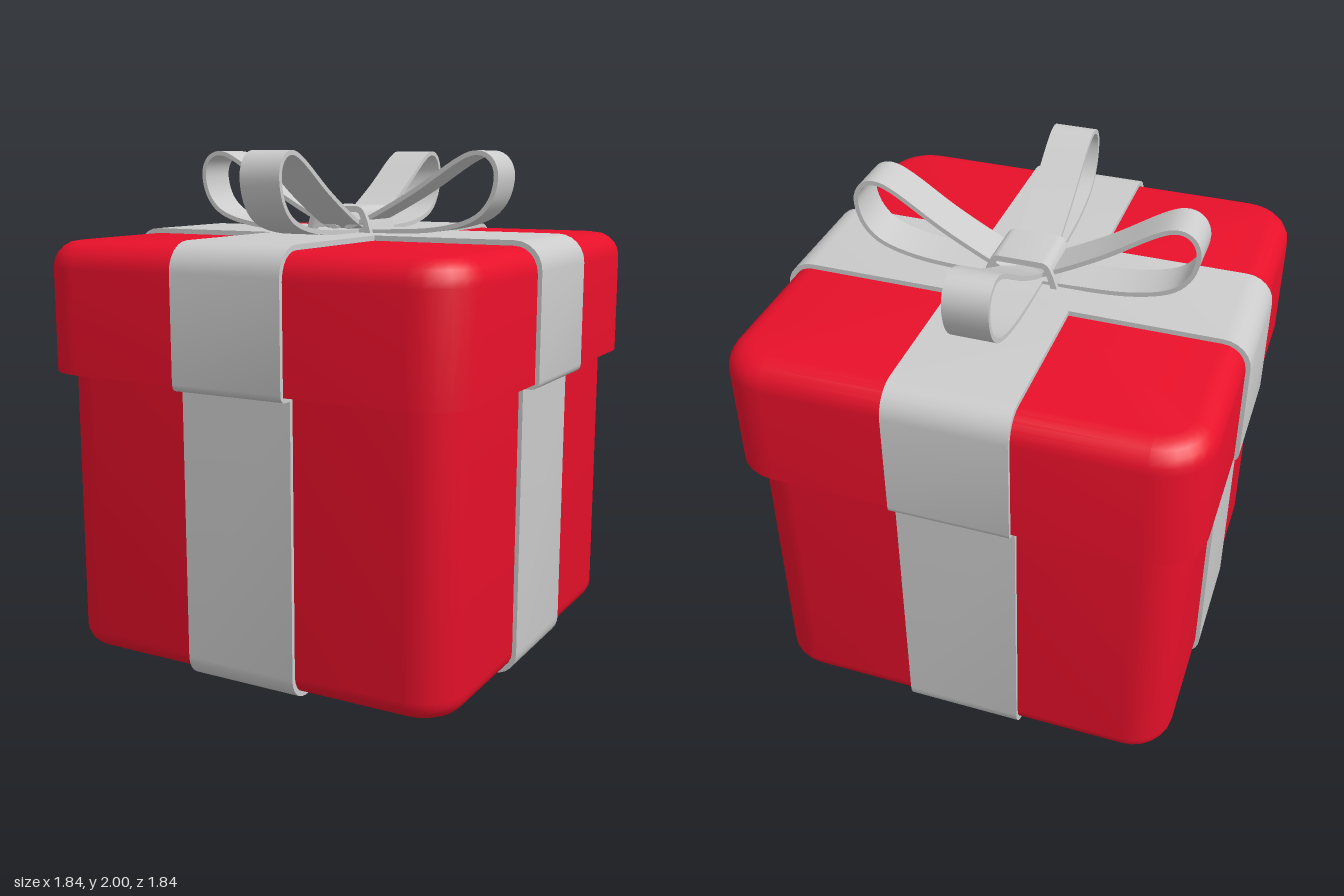
import * as THREE from 'three';
import { toCreasedNormals } from 'three/addons/utils/BufferGeometryUtils.js';

const RED = 0xe8102a;
const GREY = 0xcccccc;
const V = (x, y) => new THREE.Vector2(x, y);

function addMesh(parent, name, geometry, color) {
  const mesh = new THREE.Mesh(
    toCreasedNormals(geometry, 0.7),
    new THREE.MeshStandardMaterial({ color })
  );
  mesh.name = name;
  parent.add(mesh);
  return mesh;
}

// Square block with rounded upright corners; levels are [height, inset] from the bottom up
function roundedBlock(half, radius, levels, steps = 6) {
  const pos = [], index = [], n = 4 * (steps + 1);
  for (const [y, inset] of levels) {
    for (let k = 0; k < 4; k++) {
      const cx = (k === 0 || k === 3 ? 1 : -1) * (half - radius);
      const cz = (k < 2 ? 1 : -1) * (half - radius);
      for (let j = 0; j <= steps; j++) {
        const a = (k + j / steps) * Math.PI / 2;
        pos.push(cx + (radius - inset) * Math.cos(a), y, cz + (radius - inset) * Math.sin(a));
      }
    }
  }
  const last = (levels.length - 1) * n, bottom = pos.length / 3, top = bottom + 1;
  pos.push(0, levels[0][0], 0, 0, levels[levels.length - 1][0], 0);
  for (let i = 0; i < n; i++) {
    const next = (i + 1) % n;
    for (let l = 0; l < last; l += n) {
      index.push(l + i, l + n + i, l + next, l + next, l + n + i, l + n + next);
    }
    index.push(bottom, i, next, top, last + next, last + i);
  }
  const g = new THREE.BufferGeometry();
  g.setAttribute('position', new THREE.Float32BufferAttribute(pos, 3));
  g.setIndex(index);
  return g;
}

// Flat band of even thickness that follows a line in the xy plane, centred on z = 0
function band(line, thickness, width) {
  const pts = line.filter((p, i) => i === 0 || p.distanceTo(line[i - 1]) > 1e-4);
  const left = [], right = [];
  pts.forEach((p, i) => {
    const a = pts[Math.max(i - 1, 0)], b = pts[Math.min(i + 1, pts.length - 1)];
    const t = b.clone().sub(a).normalize();
    const n = V(-t.y, t.x).multiplyScalar(thickness / 2);
    left.push(p.clone().add(n));
    right.push(p.clone().sub(n));
  });
  const shape = new THREE.Shape([...left, ...right.reverse()]);
  return new THREE.ExtrudeGeometry(shape, { depth: width, bevelEnabled: false })
    .translate(0, 0, -width / 2);
}

function arc(cx, cy, r, from, to, steps = 6) {
  return Array.from({ length: steps + 1 }, (_, i) => {
    const a = (from + (to - from) * i / steps) * Math.PI / 180;
    return V(cx + r * Math.cos(a), cy + r * Math.sin(a));
  });
}

// Complete a right-hand line with its mirror image
const mirrored = (line) => [...line, ...line.map((p) => V(-p.x, p.y)).reverse()];

export function createModel() {
  const model = new THREE.Group();
  const turns = Array.from({ length: 6 }, (_, i) => i / 5 * Math.PI / 2);

  // Box with a softened bottom edge
  const r = 0.08;
  const boxLevels = turns.map((a) => [0.018 + r * (1 - Math.sin(a)), r * (1 - Math.cos(a))]).reverse();
  addMesh(model, 'box', roundedBlock(0.84, 0.17, [...boxLevels, [1.2, 0]]), RED);

  // Wider lid with a softened top edge
  const q = 0.1;
  const lidLevels = turns.map((a) => [1.655 - q + q * Math.sin(a), q * (1 - Math.cos(a))]);
  addMesh(model, 'lid', roundedBlock(0.902, 0.2, [[1.15, 0], ...lidLevels]), RED);

  // Ribbon bands round the box and over the lid, tucked under the lid rim
  const boxLine = mirrored([V(0.847, 1.2), ...arc(0.767, 0.09, 0.08, 0, -90)]);
  const lidLine = mirrored([
    V(0.85, 1.14), ...arc(0.889, 1.16, 0.02, -90, 0, 4), ...arc(0.809, 1.565, 0.1, 0, 90)
  ]);
  for (let i = 0; i < 2; i++) {
    const ribbon = new THREE.Group();
    ribbon.name = i ? 'sideRibbon' : 'frontRibbon';
    ribbon.rotation.y = i * Math.PI / 2;
    addMesh(ribbon, 'boxRibbon', band(boxLine, 0.02, 0.465), GREY);
    addMesh(ribbon, 'lidRibbon', band(lidLine, 0.02, 0.465), GREY);
    model.add(ribbon);
  }

  // Four bow loops, drawn as one teardrop line
  const bow = new THREE.Group();
  bow.name = 'bow';
  model.add(bow);
  const loopLine = new THREE.SplineCurve([
    V(0.02, 1.69), V(0.13, 1.735), V(0.32, 1.838), V(0.5, 1.955), V(0.585, 1.988),
    V(0.645, 1.965), V(0.67, 1.9), V(0.645, 1.805), V(0.57, 1.735), V(0.42, 1.695),
    V(0.22, 1.682), V(0.02, 1.678)
  ]).getPoints(48);
  for (let i = 0; i < 4; i++) {
    addMesh(bow, 'bowLoop', band(loopLine, 0.018, 0.17), GREY).rotation.y = i * Math.PI / 2;
  }

  // Knot strap arched over the middle of the bow
  const knotLine = mirrored([V(0.137, 1.67), V(0.122, 1.72), ...arc(0.083, 1.74, 0.028, 15, 90, 4)]);
  addMesh(bow, 'knot', band(knotLine, 0.024, 0.215), GREY);

  return model;
}
